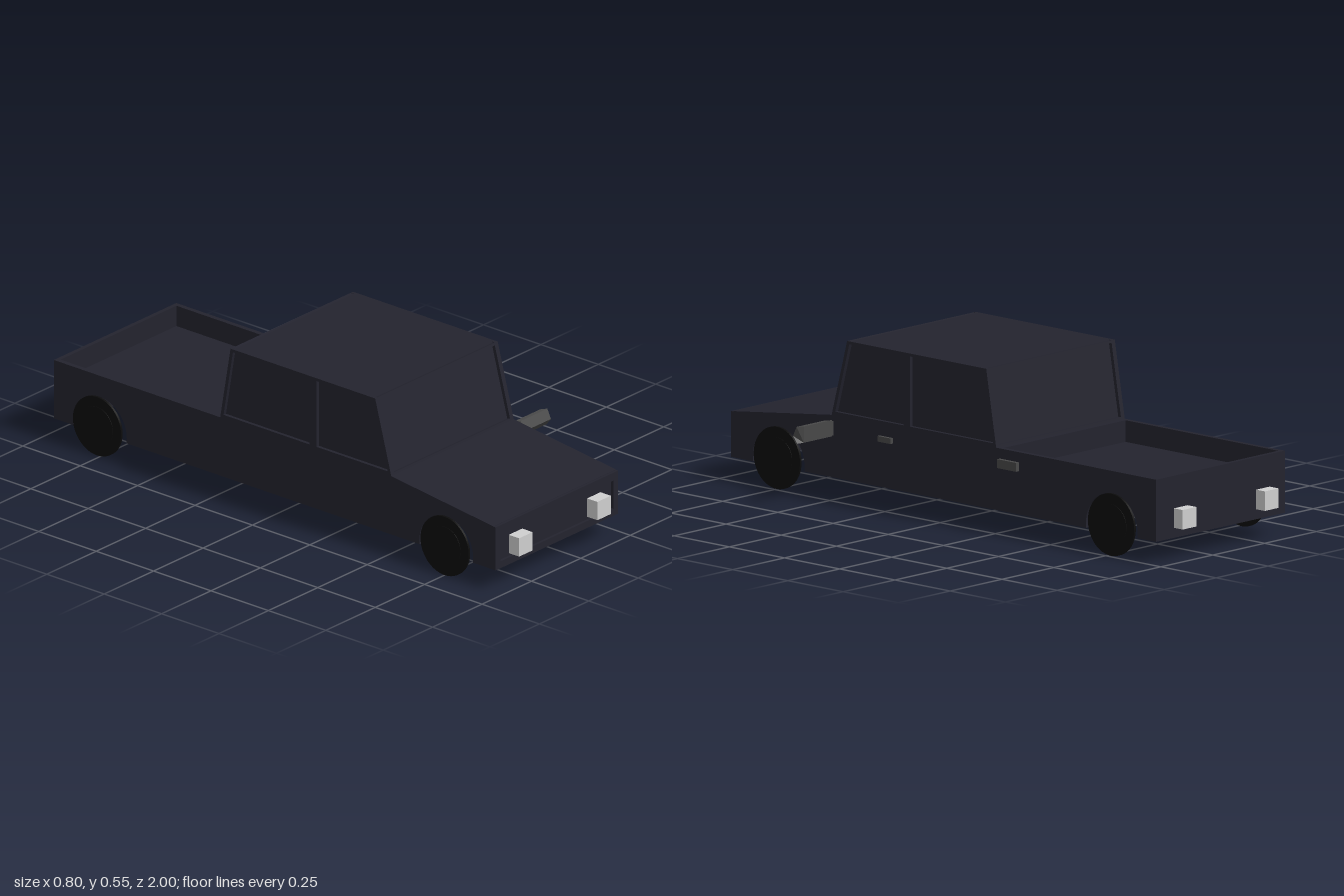
import * as THREE from 'three';

const mat = (name, color) => {
  const m = new THREE.MeshStandardMaterial({ color });
  m.name = name;
  return m;
};

const LEFT = 0.23, RIGHT = -0.39, WIDTH = LEFT - RIGHT, MID = (LEFT + RIGHT) / 2;
const INSET = 0.012;

const polygon = (pts) => new THREE.Shape(pts.map(([x, y]) => new THREE.Vector2(x, y)));
const rect = (x0, y0, x1, y1) => [[x0, y0], [x1, y0], [x1, y1], [x0, y1]];

export function createModel() {
  const paint = mat('darkPaint', 0x23232e);
  const rubber = mat('blackRubber', 0x0c0c0c);
  const trim = mat('greyTrim', 0x484848);
  const lamp = mat('lampGrey', 0xcfcfcf);
  const truck = new THREE.Group();
  truck.name = 'pickupTruck';

  const add = (name, geometry, material, x = 0, y = 0, z = 0) => {
    const mesh = new THREE.Mesh(geometry, material);
    mesh.name = name;
    mesh.position.set(x, y, z);
    truck.add(mesh);
    return mesh;
  };
  const box = (name, material, x0, x1, y0, y1, z0, z1) =>
    add(name, new THREE.BoxGeometry(x1 - x0, y1 - y0, z1 - z0), material,
      (x0 + x1) / 2, (y0 + y1) / 2, (z0 + z1) / 2);
  const extrude = (shape, depth) =>
    new THREE.ExtrudeGeometry(shape, { depth, bevelEnabled: false, curveSegments: 32 });
  // Side profile drawn in (z, y), running from x1 back to x0
  const sideExtrude = (name, shape, material, x0, x1) => {
    const mesh = add(name, extrude(shape, x1 - x0), material, x1);
    mesh.rotation.y = -Math.PI / 2;
    return mesh;
  };
  const withHoles = (outline, holes) => {
    const shape = polygon(outline);
    holes.forEach((h) => shape.holes.push(polygon(h)));
    return shape;
  };

  // Lower body with wheel arches and a sunken bed floor
  const body = new THREE.Shape();
  const archR = 0.117, archY = 0.092, dip = Math.asin((archY - 0.075) / archR);
  body.moveTo(-0.96, 0.075);
  for (const z of [-0.759, 0.75]) {
    body.lineTo(z - archR * Math.cos(dip), 0.075);
    body.absarc(z, archY, archR, Math.PI + dip, -dip, true);
  }
  [[0.955, 0.075], [0.955, 0.231], [0.51, 0.285], [-0.255, 0.285], [-0.255, 0.212],
    [-0.945, 0.212], [-0.945, 0.285], [-0.96, 0.285]].forEach(([z, y]) => body.lineTo(z, y));
  sideExtrude('lowerBody', body, paint, RIGHT, LEFT);

  // Bed side walls
  box('bedWallLeft', paint, LEFT - 0.017, LEFT, 0.212, 0.285, -0.945, -0.255);
  box('bedWallRight', paint, RIGHT, RIGHT + 0.017, 0.212, 0.285, -0.945, -0.255);

  // Nose frame around the sunken grille panel
  add('noseFrame', extrude(withHoles(rect(RIGHT, 0.075, LEFT, 0.23),
    [rect(-0.365, 0.1, 0.205, 0.202)]), 0.01), paint, 0, 0, 0.955);

  // Cab: inner core carries the panes, frames stand proud of it
  sideExtrude('cabPanes', polygon([[-0.223, 0.28], [0.497, 0.28], [0.427, 0.545], [-0.178, 0.545]]),
    paint, RIGHT + INSET, LEFT - INSET);
  const sideFrame = withHoles([[-0.235, 0.285], [0.51, 0.285], [0.44, 0.545], [-0.19, 0.545]], [
    [[0.185, 0.298], [0.495, 0.298], [0.432, 0.535], [0.185, 0.535]],
    [[-0.222, 0.298], [0.155, 0.298], [0.155, 0.535], [-0.182, 0.535]],
  ]);
  sideExtrude('sideWindowFrameLeft', sideFrame, paint, LEFT - INSET, LEFT);
  sideExtrude('sideWindowFrameRight', sideFrame, paint, RIGHT, RIGHT + INSET);
  for (const [name, z, lean, turn] of [
    ['windshieldFrame', 0.51, 0.07, 0], ['rearWindowFrame', -0.235, 0.045, Math.PI]]) {
    const h = Math.hypot(lean, 0.26), w = WIDTH / 2;
    const geometry = extrude(withHoles(rect(-w, 0, w, h),
      [rect(-w + 0.017, 0.008, w - 0.017, h - 0.008)]), INSET).translate(0, 0, -INSET);
    const mesh = add(name, geometry, paint, MID, 0.285, z);
    mesh.rotation.set(-Math.atan2(lean, 0.26), turn, 0, 'YXZ');
  }

  // Thin disc wheels with a raised hub
  for (const z of [0.75, -0.764]) {
    for (const [side, x] of [['Left', LEFT + 0.005], ['Right', RIGHT - 0.005]]) {
      const name = (z > 0 ? 'front' : 'rear') + 'Wheel' + side;
      for (const [part, r, t] of [['Tyre', 0.105, 0.008], ['Hub', 0.07, 0.011]]) {
        const geometry = new THREE.CylinderGeometry(r, r, t, 48).rotateZ(Math.PI / 2);
        add(name + part, geometry, rubber, x, 0.105, z);
      }
    }
  }

  // Head and tail lamps
  for (const x of [-0.278, 0.118]) {
    box('headlamp', lamp, x - 0.034, x + 0.034, 0.109, 0.175, 0.955, 1);
    box('tailLamp', lamp, x - 0.039, x + 0.027, 0.109, 0.175, -1, -0.955);
  }

  // Door handle, fuel flap and wing mirror on the left side
  box('doorHandle', trim, LEFT - 0.005, 0.241, 0.229, 0.248, 0.233, 0.293);
  box('sideFlap', trim, LEFT - 0.005, 0.244, 0.221, 0.251, -0.338, -0.252);
  box('mirrorArm', trim, LEFT - 0.005, 0.25, 0.217, 0.265, 0.502, 0.516);
  const mirror = sideExtrude('mirrorHead',
    polygon([[0.5, 0.215], [0.511, 0.213], [0.53, 0.237], [0.514, 0.27], [0.5, 0.27]]),
    trim, 0.24, 0.395);
  // Taper both ends of the mirror head toward its back
  const p = mirror.geometry.attributes.position;
  for (let i = 0; i < p.count; i++) {
    const back = p.getX(i) < 0.505, inner = p.getZ(i) > 0.1;
    if (back && !inner) p.setZ(i, 0.02);
    if (!back && inner) p.setZ(i, 0.135);
  }
  mirror.geometry.computeVertexNormals();

  return truck;
}
